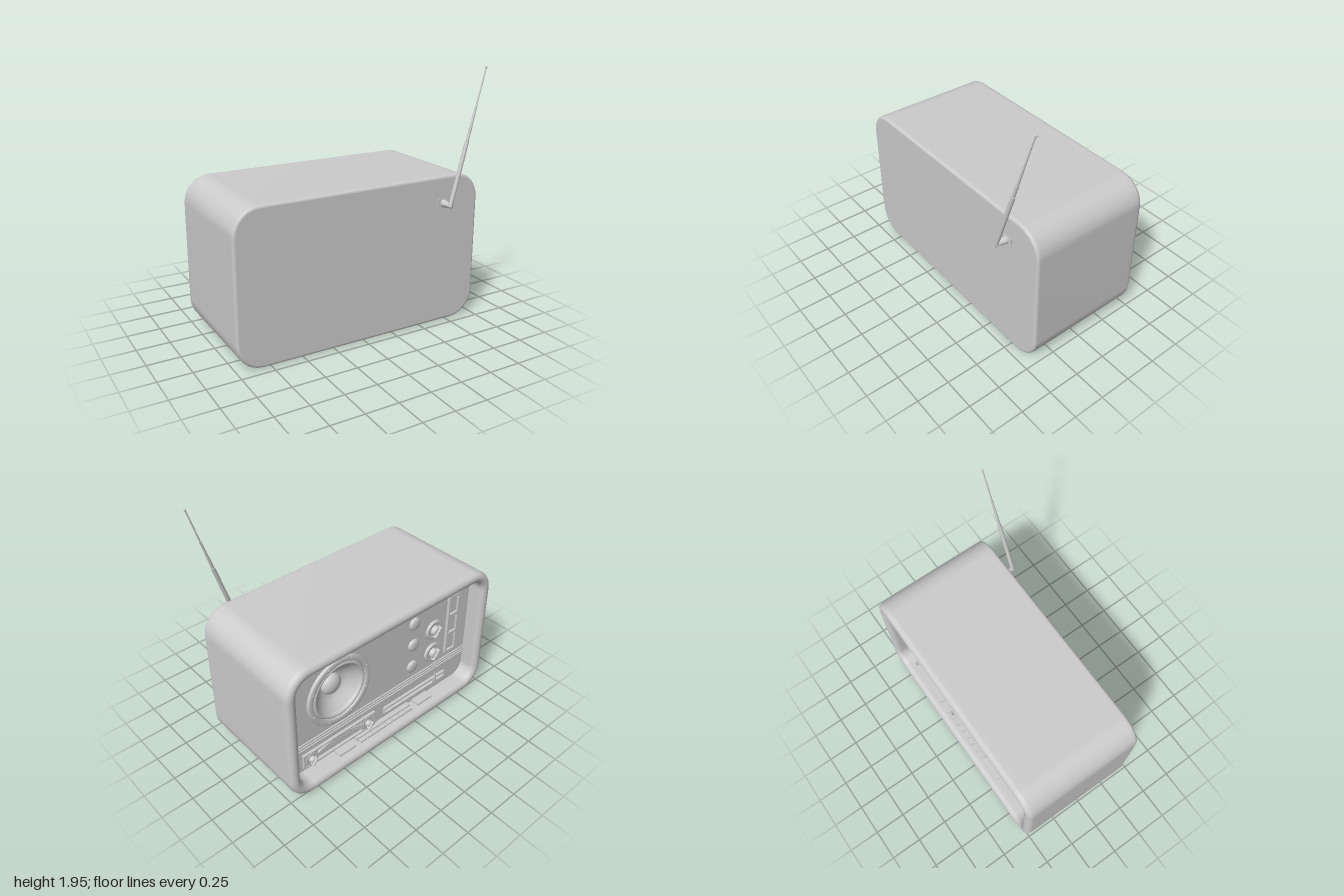
import * as THREE from 'three';

const MID = 0.5825; // height of the cabinet's centre
const PANEL_Z = -0.39;
const mat = new THREE.MeshStandardMaterial({ color: 0xcccccc });
const matDouble = new THREE.MeshStandardMaterial({ color: 0xcccccc, side: THREE.DoubleSide });

function add(parent, name, geometry, x = 0, y = 0, z = 0, material = mat) {
  const mesh = new THREE.Mesh(geometry, material);
  mesh.name = name;
  mesh.position.set(x, y, z);
  parent.add(mesh);
  return mesh;
}

// Rounded rectangle of the cabinet, shrunk by an inset
function outline(inset) {
  const r = Math.max(0.2 - inset, 0.03), steps = 6, points = [];
  const w = 1 - inset - r, h = MID - inset - r;
  [[1, 1], [-1, 1], [-1, -1], [1, -1]].forEach(([sx, sy], q) => {
    for (let i = 0; i <= steps; i++) {
      const a = (q + i / steps) * Math.PI / 2;
      points.push(new THREE.Vector2(sx * w + r * Math.cos(a), sy * h + r * Math.sin(a)));
    }
  });
  return points;
}

// Skin through the outline at each [inset, z] of the profile
function cabinetShell(profile) {
  const positions = [], index = [];
  profile.forEach(([inset, z]) => outline(inset).forEach(p => positions.push(p.x, p.y + MID, z)));
  const n = outline(0).length;
  for (let i = 0; i < profile.length - 1; i++) {
    for (let j = 0; j < n; j++) {
      const k = (j + 1) % n;
      const a = i * n + j, b = i * n + k, c = a + n, d = b + n;
      index.push(a, b, d, a, d, c);
    }
  }
  const g = new THREE.BufferGeometry();
  g.setAttribute('position', new THREE.Float32BufferAttribute(positions, 3));
  g.setIndex(index);
  g.computeVertexNormals();
  return g;
}

// Turned part whose axis points out of the panel; profile is [radius, height]
function turned(profile, segments = 32) {
  const g = new THREE.LatheGeometry(profile.map(p => new THREE.Vector2(...p)), segments);
  return g.rotateX(Math.PI / 2);
}

function rectPath(Type, x0, y0, x1, y1) {
  return new Type([[x0, y0], [x1, y0], [x1, y1], [x0, y1]].map(p => new THREE.Vector2(...p)));
}

// Flat frame around a list of rectangular openings
function frame(w, h, depth, holes) {
  const s = rectPath(THREE.Shape, -w / 2, -h / 2, w / 2, h / 2);
  holes.forEach(r => s.holes.push(rectPath(THREE.Path, ...r)));
  return new THREE.ExtrudeGeometry(s, { depth, bevelEnabled: false });
}

function rod(parent, name, from, to, r0, r1) {
  const dir = to.clone().sub(from);
  const m = add(parent, name, new THREE.CylinderGeometry(r1, r0, dir.length(), 14));
  m.position.copy(from).addScaledVector(dir, 0.5);
  m.quaternion.setFromUnitVectors(new THREE.Vector3(0, 1, 0), dir.normalize());
}

function buildCabinet(root) {
  const profile = [[0.09, PANEL_Z + 0.02], [0.09, -0.44]];
  for (let i = 0; i <= 10; i++) {
    const a = Math.PI * i / 10;
    profile.push([0.045 + 0.045 * Math.cos(a), -0.485 - 0.045 * Math.sin(a)]);
  }
  profile.push([0, -0.43], [0, 0.4]);
  for (let i = 0; i <= 4; i++) {
    const a = Math.PI / 2 * i / 4;
    profile.push([0.02 * (1 - Math.cos(a)), 0.415 + 0.02 * Math.sin(a)]);
  }
  add(root, 'cabinet', cabinetShell(profile));
  add(root, 'rearCover', new THREE.ShapeGeometry(new THREE.Shape(outline(0.02))), 0, MID, 0.435);
}

function buildSpeaker(face) {
  const speaker = new THREE.Group();
  speaker.name = 'speaker';
  speaker.position.set(-0.45, 0.68, 0);
  face.add(speaker);
  add(speaker, 'speakerRing', turned([[0.29, -0.01], [0.29, 0.015], [0.283, 0.024], [0.25, 0.024], [0.243, 0.015], [0.24, -0.01]], 48), 0, 0, 0, matDouble);
  add(speaker, 'surround', turned([[0.245, 0], [0.236, 0.014], [0.224, 0.018], [0.212, 0.012], [0.205, -0.004]], 48), 0, 0, 0, matDouble);
  add(speaker, 'cone', turned([[0.205, -0.004], [0.17, -0.035], [0.13, -0.066], [0.085, -0.09], [0, -0.09]], 48), 0, 0, 0, matDouble);
  const dome = new THREE.SphereGeometry(0.088, 28, 10, 0, Math.PI * 2, 0, Math.PI / 2);
  add(speaker, 'dustCap', dome.rotateX(Math.PI / 2).scale(1, 1, 0.6), 0, 0, -0.088);
  for (let i = 0; i < 8; i++) {
    const a = (i + 0.5) * Math.PI / 4;
    add(speaker, 'speakerScrew', turned([[0.009, 0], [0.009, 0.005], [0, 0.006]], 10), 0.267 * Math.cos(a), 0.267 * Math.sin(a), 0.023);
  }
}

function buildKnob(face, name, x, y, r) {
  const knob = new THREE.Group();
  knob.name = name;
  knob.position.set(x, y, 0);
  face.add(knob);
  add(knob, 'skirt', turned([[r, 0], [r, 0.012], [r * 0.93, 0.02], [r * 0.72, 0.02], [r * 0.66, 0.012], [0, 0.012]]), 0, 0, 0, matDouble);
  add(knob, 'cap', turned([[r * 0.5, 0.01], [r * 0.46, 0.042], [r * 0.38, 0.05], [0, 0.05]], 24), 0, 0, 0, matDouble);
  const grip = add(knob, 'grip', new THREE.BoxGeometry(r * 0.22, r * 1.15, 0.03), 0, 0, 0.05);
  grip.rotation.z = -0.7;
}

function buildTuner(face) {
  const tuner = new THREE.Group();
  tuner.name = 'tuner';
  tuner.position.set(-0.45, 0.19, 0);
  face.add(tuner);
  add(tuner, 'tunerFrame', frame(0.7, 0.13, 0.022, [[-0.335, -0.053, 0.335, 0.053]]));
  // Arched scale with its tick marks
  const arch = new THREE.Shape();
  arch.moveTo(-0.22, -0.03);
  arch.quadraticCurveTo(0, 0.035, 0.22, -0.03);
  arch.lineTo(0.22, 0.005);
  arch.quadraticCurveTo(0, 0.085, -0.22, 0.005);
  add(tuner, 'scale', new THREE.ExtrudeGeometry(arch, { depth: 0.014, bevelEnabled: false, curveSegments: 16 }));
  for (let i = -6; i <= 6; i++) {
    const x = i * 0.03;
    add(tuner, 'scaleMark', new THREE.BoxGeometry(0.004, 0.018, 0.006), x, 0.024 - 0.75 * x * x, 0.015);
  }
  for (const s of [-1, 1]) {
    add(tuner, 'knobMount', new THREE.BoxGeometry(0.12, 0.106, 0.02), s * 0.275, 0, 0.006);
    buildKnob(tuner, 'tuningKnob', s * 0.275, -0.005, 0.055);
  }
}

function buildFace(root) {
  // Turned round so that the panel's own +z points outwards
  const face = new THREE.Group();
  face.name = 'controlPanel';
  face.position.z = PANEL_Z;
  face.rotation.y = Math.PI;
  root.add(face);

  const panel = new THREE.Shape(outline(0.085));
  const hole = new THREE.Path();
  hole.absarc(-0.45, 0.68 - MID, 0.245, 0, Math.PI * 2);
  panel.holes.push(hole);
  add(face, 'panel', new THREE.ExtrudeGeometry(panel, { depth: 0.03, bevelEnabled: false, curveSegments: 24 }), 0, MID, -0.03);

  buildSpeaker(face);
  for (const y of [0.887, 0.685, 0.475]) {
    add(face, 'pushButton', turned([[0.053, 0], [0.053, 0.012], [0.046, 0.02], [0.03, 0.026], [0, 0.028]], 24), 0.297, y, 0, matDouble);
  }
  for (const y of [0.72, 0.497]) buildKnob(face, 'dial', 0.52, y, 0.085);

  // Column of rocker switches
  const cells = [-1, 0, 1].map(i => [-0.043, i * 0.178 - 0.078, 0.043, i * 0.178 + 0.078]);
  add(face, 'switchFrame', frame(0.118, 0.555, 0.024, cells), 0.72, 0.69, 0);
  for (const i of [-1, 0, 1]) {
    add(face, 'switch', new THREE.BoxGeometry(0.074, 0.14, 0.02), 0.72, 0.69 + i * 0.178, 0.002);
  }

  // Trim strips across the panel
  for (const y of [0.302, 0.328, 0.354]) {
    add(face, 'trimStrip', new THREE.BoxGeometry(1.81, 0.014, 0.014), 0, y, 0.004);
  }

  buildTuner(face);

  // Slider scale with its needle
  add(face, 'sliderFrame', frame(0.68, 0.058, 0.022, [[-0.33, -0.018, 0.33, 0.018]]), 0.34, 0.192, 0);
  add(face, 'sliderRail', new THREE.BoxGeometry(0.66, 0.008, 0.012), 0.34, 0.192, 0.004);
  add(face, 'needle', new THREE.BoxGeometry(0.01, 0.095, 0.012), 0.56, 0.215, 0.024);
  add(face, 'sliderGrip', new THREE.BoxGeometry(0.035, 0.032, 0.02), 0.56, 0.192, 0.016);

  // Piano keys along the bottom
  for (const x of [-0.425, 0.4]) {
    add(face, 'sideKey', new THREE.BoxGeometry(0.16, 0.024, 0.08), x, 0.092, 0.035);
  }
  add(face, 'keyBed', new THREE.BoxGeometry(0.57, 0.03, 0.045), -0.02, 0.1, 0.018);
  for (let i = 0; i < 8; i++) {
    add(face, 'key', new THREE.BoxGeometry(0.064, 0.024, 0.08), -0.265 + i * 0.07, 0.092, 0.035);
  }
}

function buildAntenna(root) {
  const antenna = new THREE.Group();
  antenna.name = 'antenna';
  root.add(antenna);
  add(antenna, 'antennaPlate', new THREE.BoxGeometry(0.11, 0.07, 0.006), 0.68, 0.955, 0.437);
  add(antenna, 'antennaPivot', turned([[0.03, 0], [0.024, 0.045], [0.019, 0.05], [0.017, 0.095], [0, 0.095]], 20), 0.68, 0.957, 0.437, matDouble);
  const base = new THREE.Vector3(0.675, 0.95, 0.523), tip = new THREE.Vector3(0.98, 1.945, 0.482);
  const at = t => base.clone().lerp(tip, t);
  rod(antenna, 'lowerMast', at(0), at(0.48), 0.017, 0.015);
  rod(antenna, 'middleMast', at(0.48), at(0.59), 0.011, 0.011);
  rod(antenna, 'upperMast', at(0.59), at(0.73), 0.009, 0.008);
  rod(antenna, 'topMast', at(0.73), at(1), 0.006, 0.005);
  add(antenna, 'antennaTip', new THREE.SphereGeometry(0.009, 12, 8), tip.x, tip.y, tip.z);
}

export function createModel() {
  const root = new THREE.Group();
  root.name = 'radio';
  buildCabinet(root);
  buildFace(root);
  buildAntenna(root);
  return root;
}
